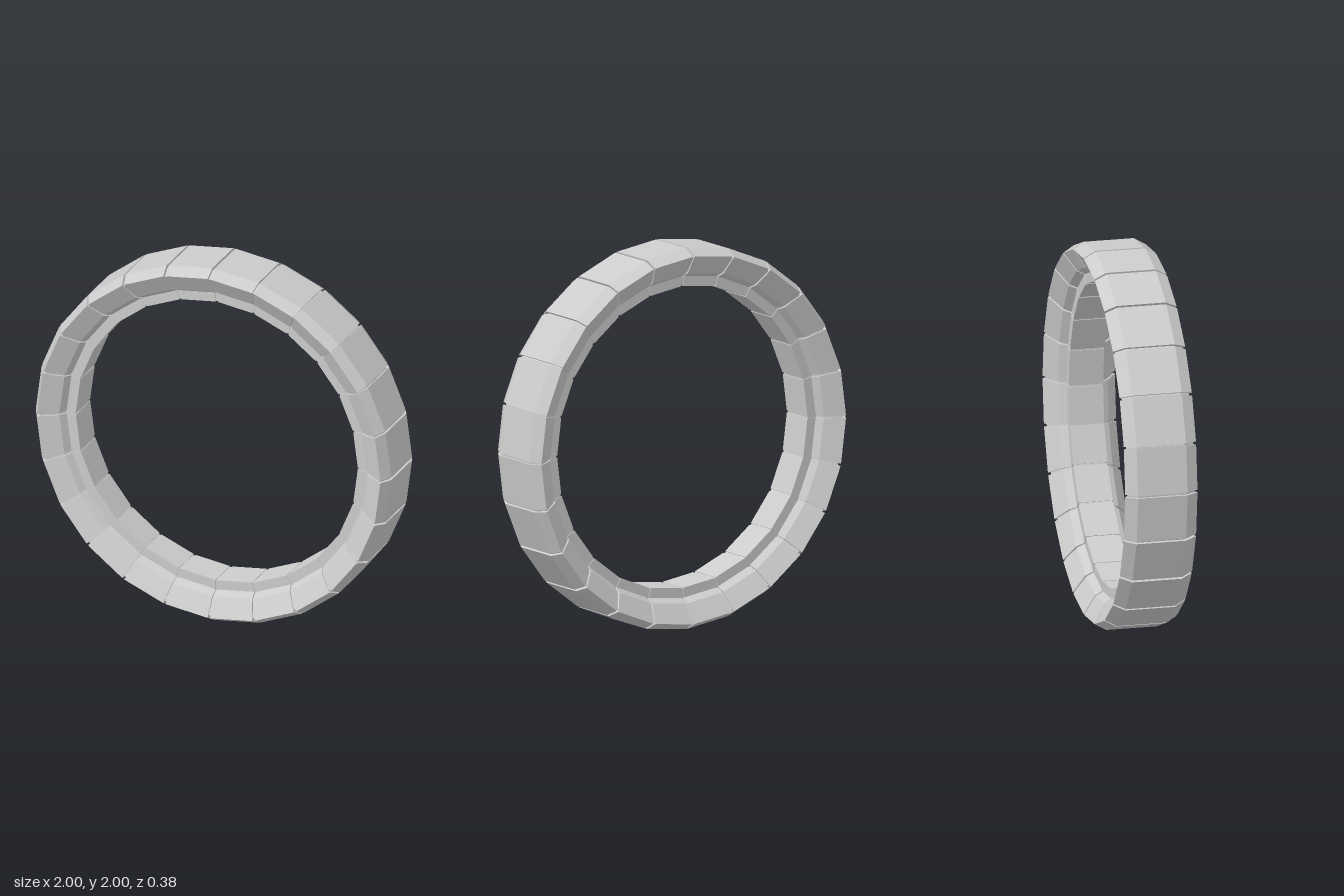
import * as THREE from 'three';

const COUNT = 24;
const GAP = 0.007; // half the gap between neighbouring links

// Mirror half a cross-section (radius, depth) into a closed counter-clockwise loop
function crossSection(half) {
  const front = half.map(([r, z]) => new THREE.Vector2(r, z));
  const back = half.map(([r, z]) => new THREE.Vector2(r, -z)).reverse();
  return [...front, ...back];
}

// One straight link with mitred ends, placed at the top of the ring
function linkGeometry() {
  const profile = crossSection([
    [1, 0.13], [0.965, 0.19], [0.867, 0.13], [0.845, 0.09], [0.793, 0.09],
  ]);
  const geo = new THREE.ExtrudeGeometry(new THREE.Shape(profile), { depth: 1, bevelEnabled: false });
  const a = Math.PI / COUNT;
  const p = geo.attributes.position;
  for (let i = 0; i < p.count; i++) {
    const r = p.getX(i), z = p.getY(i), side = p.getZ(i) * 2 - 1;
    p.setXYZ(i, side * (r * Math.sin(a) - GAP), r * Math.cos(a), z);
  }
  geo.computeVertexNormals();
  return geo;
}

// Slightly smaller continuous ring that closes the gaps
function coreGeometry() {
  const profile = crossSection([
    [0.986, 0.124], [0.955, 0.177], [0.872, 0.122], [0.85, 0.086], [0.796, 0.086],
  ]).reverse();
  profile.push(profile[0].clone());
  return new THREE.LatheGeometry(profile, COUNT).rotateX(Math.PI / 2);
}

export function createModel() {
  const model = new THREE.Group();
  model.name = 'segmentedRing';
  const material = new THREE.MeshStandardMaterial({ color: 0xcccccc, flatShading: true });
  const coreMaterial = material.clone();
  coreMaterial.side = THREE.DoubleSide;

  const ring = new THREE.Group();
  ring.name = 'ring';
  ring.position.y = 1;
  model.add(ring);

  const core = new THREE.Mesh(coreGeometry(), coreMaterial);
  core.name = 'core';
  ring.add(core);

  // Links around the ring, with a joint at the very top
  const geo = linkGeometry();
  for (let i = 0; i < COUNT; i++) {
    const link = new THREE.Mesh(geo, material);
    link.name = `link${i + 1}`;
    link.rotation.z = ((i + 0.5) / COUNT) * Math.PI * 2;
    ring.add(link);
  }
  return model;
}
